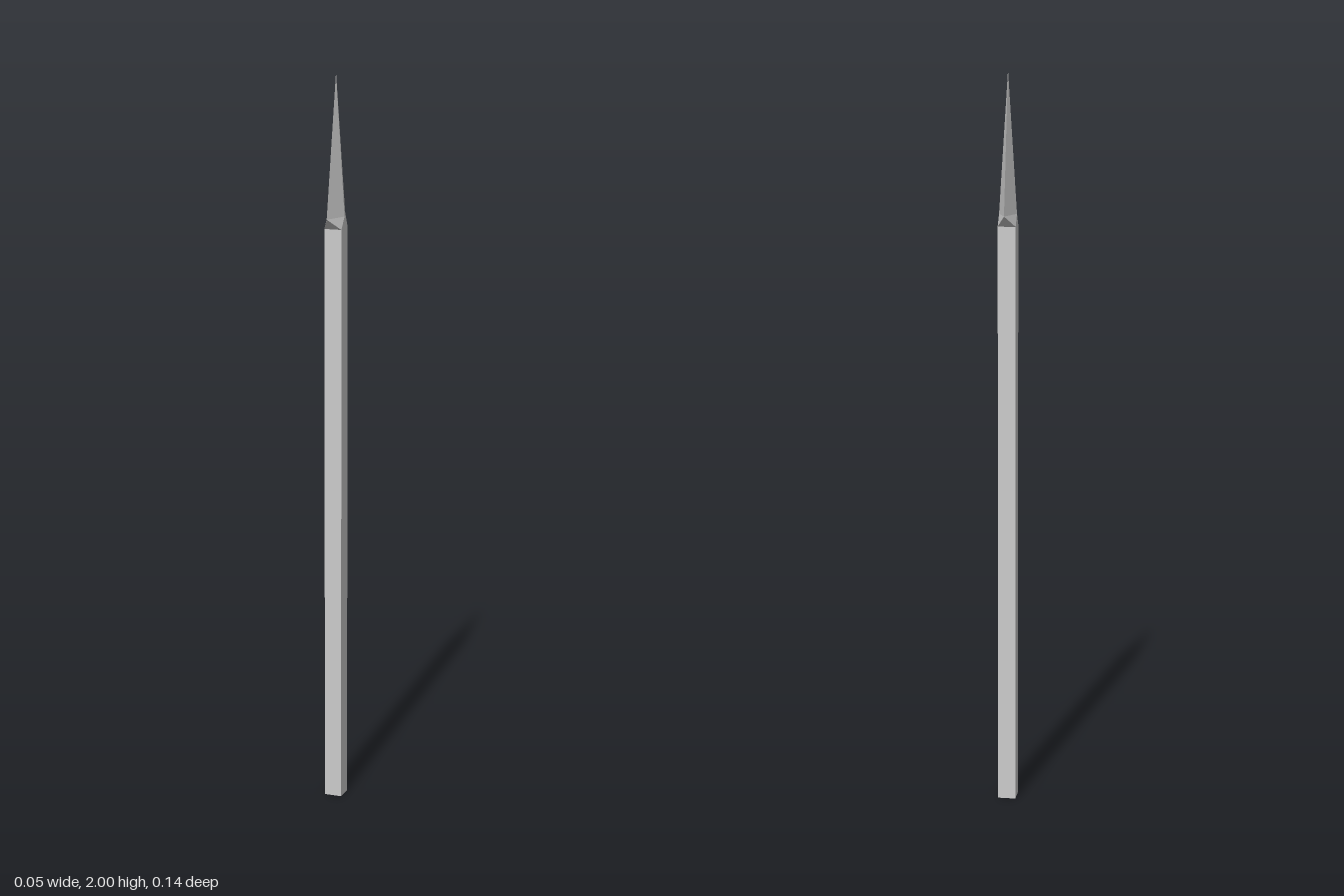
import * as THREE from 'three';

const HALF = 0.024;      // half width of the square shaft
const BLADE = 0.07;      // half width of the blade
const SHAFT_TOP = 1.592;
const BLADE_BASE = 1.624;
const TIP = 2;

const material = new THREE.MeshStandardMaterial({ color: 0xcccccc, flatShading: true });

// Four-sided spearhead: square socket, flaring to a diamond, then to a point
function createHeadGeometry() {
  const corners = [[1, 1], [1, -1], [-1, -1], [-1, 1]]
    .map(([x, z]) => new THREE.Vector3(x * HALF, SHAFT_TOP, z * HALF));
  const diamond = [[0, BLADE], [HALF, 0], [0, -BLADE], [-HALF, 0]]
    .map(([x, z]) => new THREE.Vector3(x, BLADE_BASE, z));
  const tip = new THREE.Vector3(0, TIP, 0);

  const points = [];
  for (let i = 0; i < 4; i++) {
    const next = (i + 1) % 4;
    points.push(diamond[i], diamond[next], tip);              // blade facet
    points.push(corners[i], diamond[next], diamond[i]);       // flare beside a corner
    points.push(corners[i], corners[next], diamond[next]);    // flare above a shaft side
  }
  const geometry = new THREE.BufferGeometry().setFromPoints(points);
  geometry.computeVertexNormals();
  return geometry;
}

export function createModel() {
  const model = new THREE.Group();
  model.name = 'spear';

  // Square shaft standing on the ground
  const shaft = new THREE.Mesh(new THREE.BoxGeometry(2 * HALF, SHAFT_TOP, 2 * HALF), material);
  shaft.name = 'shaft';
  shaft.position.y = SHAFT_TOP / 2;

  const head = new THREE.Mesh(createHeadGeometry(), material);
  head.name = 'spearhead';

  // The flare faces outward on both winding cases
  head.material = material.clone();
  head.material.side = THREE.DoubleSide;

  model.add(shaft, head);
  return model;
}
